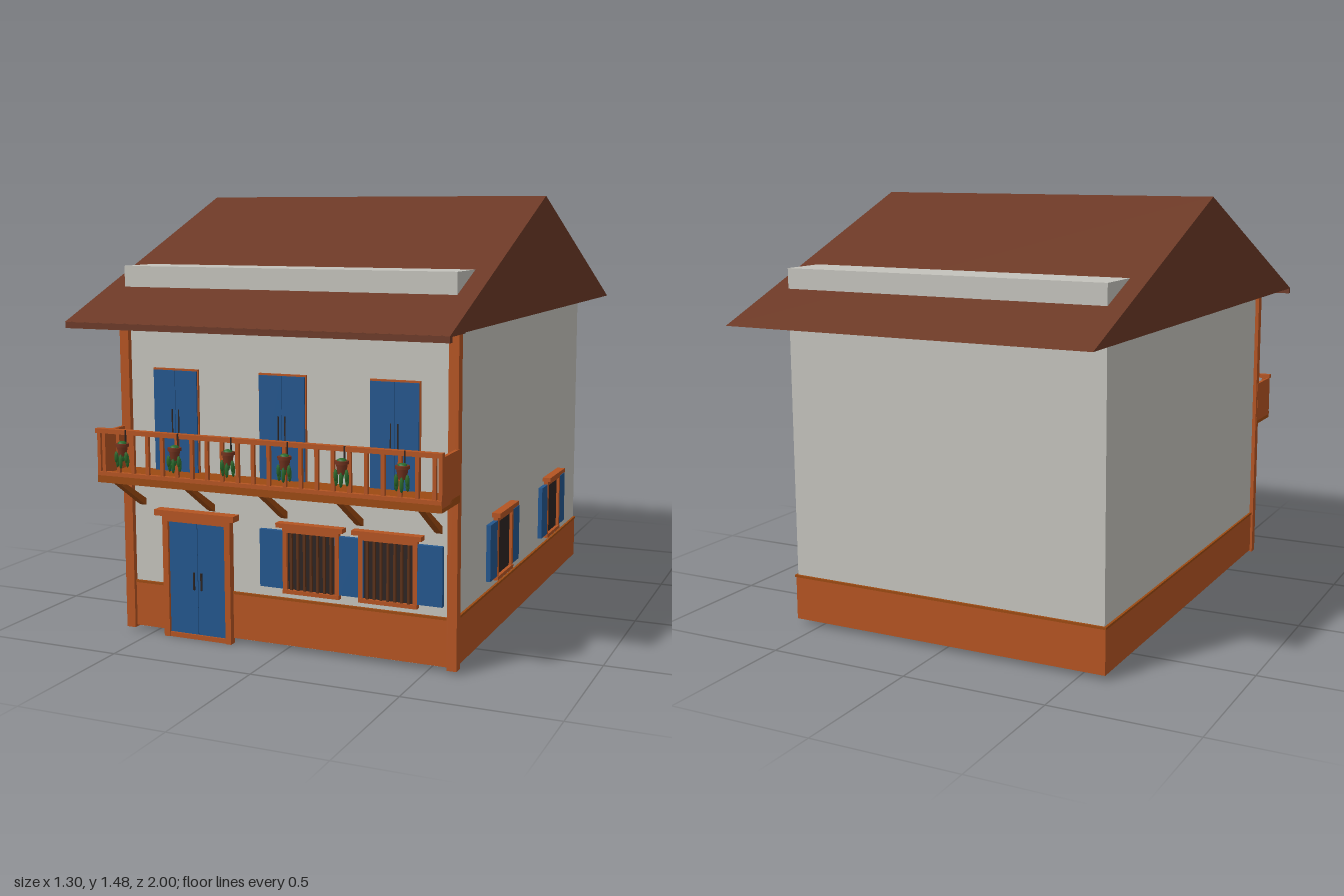
import * as THREE from 'three';

const mat = (name, hex) => {
  const m = new THREE.MeshStandardMaterial({ color: hex });
  m.name = name;
  return m;
};

export function createModel() {
  const house = new THREE.Group();
  house.name = 'house';

  const plaster = mat('plaster', 0xc4c3bc);
  const orange = mat('orangePaint', 0xb45422);
  const wood = mat('lightWood', 0x9c4a12);
  const roofBrown = mat('roofBrown', 0x6c3926);
  const blue = mat('bluePaint', 0x23568d);
  const dark = mat('darkGlass', 0x2d2422);
  const barBrown = mat('barBrown', 0x5a3018);
  const clay = mat('clay', 0x74341f);
  const green = mat('leafGreen', 0x2c6a2c);

  const add = (parent, name, geometry, material) => {
    const mesh = new THREE.Mesh(geometry, material);
    mesh.name = name;
    parent.add(mesh);
    return mesh;
  };
  // Box given by its limits on each axis
  const box = (parent, name, material, x0, x1, y0, y1, z0, z1) => {
    const mesh = add(parent, name, new THREE.BoxGeometry(x1 - x0, y1 - y0, z1 - z0), material);
    mesh.position.set((x0 + x1) / 2, (y0 + y1) / 2, (z0 + z1) / 2);
    return mesh;
  };
  const group = (name, x, y, z, parent = house) => {
    const g = new THREE.Group();
    g.name = name;
    g.position.set(x, y, z);
    parent.add(g);
    return g;
  };

  // Walls, rising through the roof above the eaves
  box(house, 'walls', plaster, -0.585, 0.585, 0.016, 1.25, -0.75, 0.75);
  box(house, 'plinth', orange, -0.59, 0.59, 0.018, 0.17, -0.755, 0.755);
  box(house, 'plinthTrim', wood, -0.593, 0.593, 0.17, 0.178, -0.758, 0.758);

  // Gabled roof
  const gable = new THREE.Shape();
  gable.moveTo(-1, 1.08);
  gable.lineTo(1, 1.08);
  gable.lineTo(0, 1.483);
  gable.closePath();
  const roofGeo = new THREE.ExtrudeGeometry(gable, { depth: 1.3, bevelEnabled: false });
  roofGeo.translate(0, 0, -0.65).rotateY(Math.PI / 2);
  add(house, 'roof', roofGeo, roofBrown);

  // Timber under the front eave
  box(house, 'eaveBeam', roofBrown, -0.65, 0.65, 1.06, 1.081, 0.98, 0.998);
  for (let i = 0; i < 7; i++) {
    const x = -0.6 + i * 0.2;
    box(house, 'rafter', roofBrown, x - 0.012, x + 0.012, 1.066, 1.081, 0.75, 0.98);
  }

  // Front corner posts
  for (const s of [-1, 1]) {
    const post = box(house, 'cornerPost', orange, -0.0165, 0.0165, 0.012, 1.08, 0.735, 0.768);
    post.position.x = s * 0.5825;
  }

  // Shuttered window facing local +z, its wall on z = 0
  const shutteredWindow = (name, half, shutter, bars) => {
    const w = group(name, 0, 0, 0);
    box(w, 'windowPane', dark, -half + 0.01, half - 0.01, 0.21, 0.405, 0, 0.006);
    for (const s of [-1, 1]) {
      const jamb = box(w, 'windowJamb', orange, -0.0075, 0.0075, 0.2, 0.41, 0, 0.016);
      jamb.position.x = s * (half - 0.0075);
      const leaf = box(w, 'shutter', blue, -shutter / 2, shutter / 2, 0.212, 0.404, 0, 0.015);
      leaf.position.x = s * (half + shutter / 2);
    }
    box(w, 'windowSill', orange, -half, half, 0.197, 0.21, 0, 0.018);
    box(w, 'windowHead', orange, -half, half, 0.4, 0.418, 0, 0.016);
    box(w, 'windowHood', orange, -half - 0.018, half + 0.018, 0.418, 0.433, 0, 0.03);
    for (let i = 0; i < bars; i++) {
      const x = (i - (bars - 1) / 2) * 0.0235;
      box(w, 'windowBar', barBrown, x - 0.004, x + 0.004, 0.21, 0.4, 0.007, 0.015);
    }
    return w;
  };
  for (const x of [0.1, 0.367]) {
    shutteredWindow('frontWindow', 0.1, 0.083, 7).position.set(x, 0, 0.751);
  }
  for (const z of [0.268, -0.368]) {
    const w = shutteredWindow('sideWindow', 0.09, 0.077, 0);
    w.position.set(0.586, 0, z);
    w.rotation.y = Math.PI / 2;
  }

  // Front door with frame, two leaves and hood
  const door = group('frontDoor', -0.3175, 0, 0.75);
  for (const s of [-1, 1]) {
    const jamb = box(door, 'doorJamb', orange, -0.0105, 0.0105, 0, 0.415, 0, 0.026);
    jamb.position.x = s * 0.1175;
    const leaf = box(door, 'doorLeaf', blue, -0.053, 0.053, 0.016, 0.4, 0, 0.016);
    leaf.position.x = s * 0.054;
    box(door, 'doorHandle', dark, s * 0.014 - 0.003, s * 0.014 + 0.003, 0.17, 0.23, 0.016, 0.02);
  }
  box(door, 'doorStep', orange, -0.128, 0.128, 0, 0.016, 0, 0.022);
  box(door, 'doorHead', orange, -0.128, 0.128, 0.4, 0.42, 0, 0.026);
  box(door, 'doorHood', orange, -0.15, 0.15, 0.42, 0.44, 0, 0.04);

  // Balcony doors
  for (const x of [-0.392, 0, 0.388]) {
    const d = group('balconyDoor', x, 0, 0.75);
    box(d, 'balconyDoorFrame', orange, -0.084, 0.084, 0.57, 0.915, 0, 0.008);
    for (const s of [-1, 1]) {
      const leaf = box(d, 'balconyDoorLeaf', blue, -0.04, 0.04, 0.57, 0.909, 0, 0.014);
      leaf.position.x = s * 0.0408;
      box(d, 'balconyDoorHandle', dark, s * 0.012 - 0.002, s * 0.012 + 0.002, 0.7, 0.78, 0.014, 0.016);
    }
  }

  // Balcony: floor, rails, balusters and solid ends
  const balcony = group('balcony', 0, 0, 0);
  box(balcony, 'balconyFloor', wood, -0.6, 0.6, 0.547, 0.571, 0.75, 0.916);
  box(balcony, 'bottomRail', orange, -0.598, 0.598, 0.571, 0.584, 0.902, 0.918);
  box(balcony, 'handRail', orange, -0.602, 0.602, 0.712, 0.727, 0.9, 0.922);
  for (const s of [-1, 1]) {
    const end = box(balcony, 'balconyEnd', orange, -0.006, 0.006, 0.56, 0.713, 0.75, 0.914);
    end.position.x = s * 0.594;
  }
  for (let i = 0; i < 22; i++) {
    const x = -0.575 + (i * 1.15) / 21;
    box(balcony, 'baluster', orange, x - 0.006, x + 0.006, 0.58, 0.714, 0.904, 0.915);
  }

  // Slanting brackets below the floor
  const strut = new THREE.Shape([
    new THREE.Vector2(0.745, 0.44), new THREE.Vector2(0.768, 0.452),
    new THREE.Vector2(0.912, 0.548), new THREE.Vector2(0.885, 0.548), new THREE.Vector2(0.745, 0.463),
  ]);
  for (const x of [-0.533, -0.267, 0, 0.267, 0.533]) {
    const geo = new THREE.ExtrudeGeometry(strut, { depth: 0.022, bevelEnabled: false });
    geo.translate(0, 0, -0.011).rotateY(-Math.PI / 2);
    add(balcony, 'bracket', geo, wood).position.x = x;
  }

  // Hanging flower pots with trailing leaves
  for (const x of [-0.485, -0.29, -0.098, 0.098, 0.29, 0.485]) {
    const pot = group('flowerPot', x, 0.665, 0.943, balcony);
    add(pot, 'pot', new THREE.CylinderGeometry(0.019, 0.013, 0.036, 10), clay);
    const rim = add(pot, 'potRim', new THREE.CylinderGeometry(0.022, 0.022, 0.01, 10), clay);
    rim.position.y = 0.018;
    box(pot, 'potHook', dark, -0.002, 0.002, 0.01, 0.064, -0.022, -0.018);
    for (let i = 0; i < 6; i++) {
      const a = (i / 6) * Math.PI * 2 + 0.3;
      const leaf = add(pot, 'leaf', new THREE.SphereGeometry(1, 6, 5), green);
      leaf.scale.set(0.007, i % 2 ? 0.024 : 0.019, 0.007);
      leaf.position.set(Math.cos(a) * 0.02, i % 2 ? -0.033 : -0.02, Math.sin(a) * 0.014 + 0.004);
    }
    const top = add(pot, 'leafTop', new THREE.SphereGeometry(1, 8, 5), green);
    top.scale.set(0.016, 0.008, 0.014);
    top.position.y = 0.023;
  }

  return house;
}
